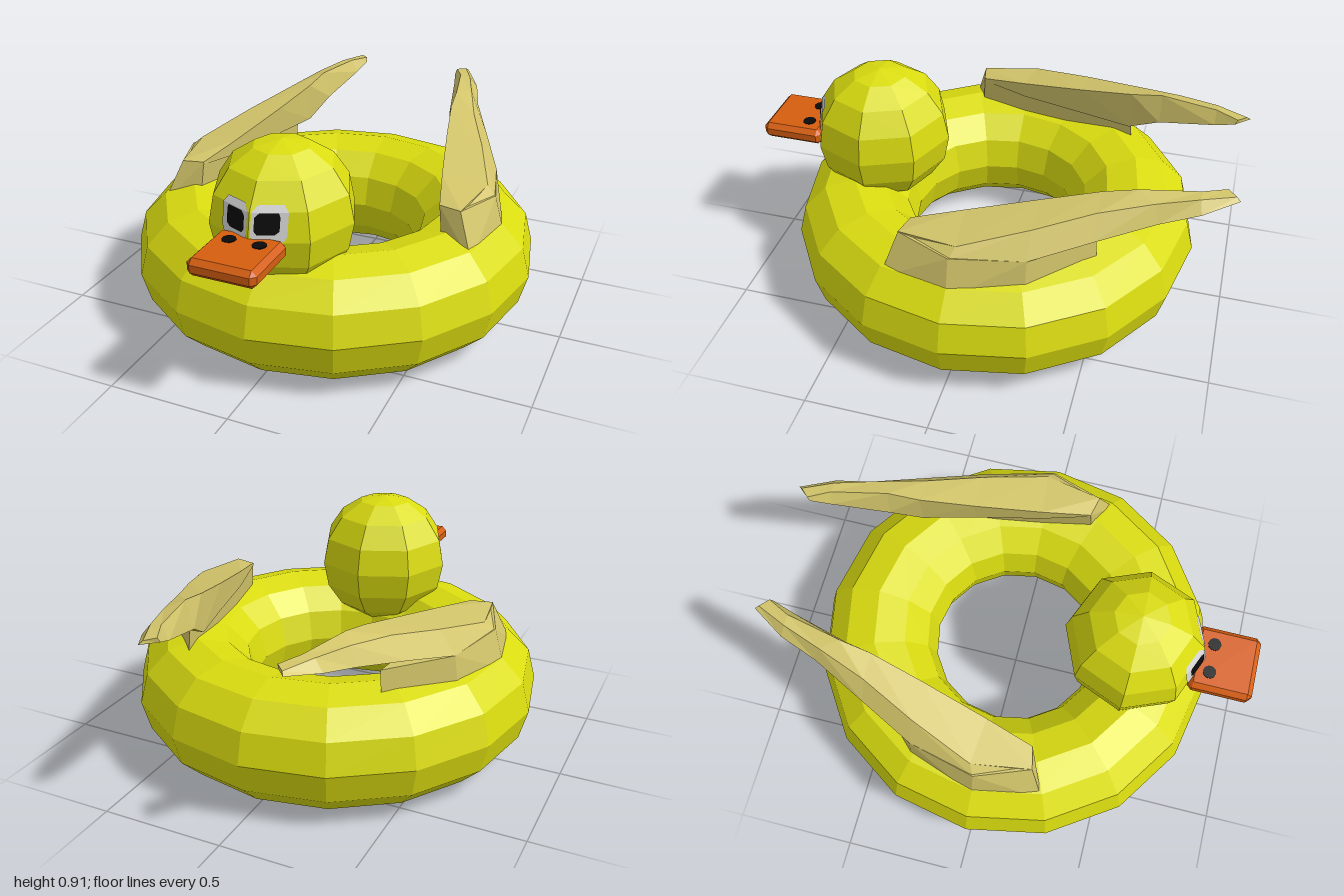
import * as THREE from 'three';
import { ConvexGeometry } from 'three/addons/geometries/ConvexGeometry.js';

const mat = (name, color, extra = {}) => {
  const m = new THREE.MeshStandardMaterial({ color, flatShading: true, ...extra });
  m.name = name;
  return m;
};

export function createModel() {
  const yellow = mat('yellow', 0xdadc10);
  const tan = mat('tan', 0xd2c46a);
  const orange = mat('orange', 0xd65e10);
  const white = mat('eyeWhite', 0xd4d4d4);
  const black = mat('black', 0x0a0a0a);

  const model = new THREE.Group();
  model.name = 'duckSwimRing';
  const add = (name, geometry, material, parent = model) => {
    const mesh = new THREE.Mesh(geometry, material);
    mesh.name = name;
    parent.add(mesh);
    return mesh;
  };

  // Builds a faceted geometry from quads given as four [x, y, z] corners
  const quads = (list, flip) => {
    const pos = [];
    for (const [a, b, c, d] of list) {
      for (const p of flip ? [a, c, b, a, d, c] : [a, b, c, a, c, d]) pos.push(...p);
    }
    const g = new THREE.BufferGeometry();
    g.setAttribute('position', new THREE.Float32BufferAttribute(pos, 3));
    g.computeVertexNormals();
    return g;
  };
  const hull = (pts) => new ConvexGeometry(pts.map((p) => new THREE.Vector3(...p)));

  // Inflated ring
  add('ring', new THREE.TorusGeometry(0.6, 0.25, 12, 16).rotateX(Math.PI / 2).translate(0, 0.25, 0), yellow);

  // Head
  add('head', new THREE.SphereGeometry(0.29, 8, 8).translate(0, 0.62, 0.5), yellow);

  // Beak: a chamfered box
  const beak = [];
  const [hx, hy, hz, b] = [0.135, 0.035, 0.13, 0.02];
  for (const x of [-1, 1]) for (const y of [-1, 1]) for (const z of [-1, 1]) {
    for (const [i, j, k] of [[0, b, b], [b, 0, b], [b, b, 0]]) {
      beak.push([x * (hx - i), 0.6 + y * (hy - j), 0.87 + z * (hz - k)]);
    }
  }
  add('beak', hull(beak), orange);

  // Eye patches follow the faces of the head; rows are [y, inner x, outer x]
  const headRadius = (y) => (y < 0.731 ? 0.29 - (y - 0.62) * 0.2 : 0.268 - (y - 0.731) * 0.67);
  const patch = (rows, s, lift) => {
    const at = (x, y) => [s * x, y, 0.5 + headRadius(y) + lift - x * 0.414];
    const list = [];
    for (let i = 0; i < rows.length - 1; i++) {
      const [y0, a0, b0] = rows[i], [y1, a1, b1] = rows[i + 1];
      list.push([at(a0, y0), at(b0, y0), at(b1, y1), at(a1, y1)]);
    }
    return quads(list, s < 0);
  };
  const whiteRows = [[0.625, 0.02, 0.12], [0.645, 0.008, 0.13], [0.731, 0.008, 0.13], [0.755, 0.025, 0.11]];
  const pupilRows = [[0.652, 0.03, 0.09], [0.665, 0.02, 0.105], [0.715, 0.02, 0.105], [0.73, 0.035, 0.1]];

  // Wing base footprint: bottom corners, then top corners
  const base = [
    [0.54, 0.42, 0.21], [0.68, 0.42, 0.28], [0.735, 0.42, 0], [0.64, 0.42, -0.28], [0.42, 0.42, -0.51],
    [0.52, 0.6, 0.2], [0.61, 0.6, 0.22], [0.69, 0.585, 0], [0.62, 0.575, -0.28], [0.41, 0.57, -0.5],
  ];
  // Blade sections: outer edge, ridge, inner top, inner bottom
  const blade = [
    [[0.61, 0.59, 0.22], [0.61, 0.602, 0.22], [0.52, 0.602, 0.2], [0.52, 0.59, 0.2]],
    [[0.69, 0.58, 0], [0.65, 0.615, -0.02], [0.465, 0.64, 0], [0.47, 0.57, 0]],
    [[0.62, 0.575, -0.28], [0.55, 0.67, -0.28], [0.395, 0.695, -0.28], [0.405, 0.57, -0.28]],
    [[0.515, 0.63, -0.5], [0.45, 0.718, -0.5], [0.345, 0.74, -0.5], [0.345, 0.575, -0.5]],
    [[0.41, 0.68, -0.72], [0.38, 0.748, -0.7], [0.33, 0.765, -0.63], [0.3, 0.65, -0.63]],
    [[0.36, 0.715, -0.87], [0.325, 0.76, -0.86], [0.28, 0.765, -0.86], [0.25, 0.71, -0.86]],
    [[0.28, 0.745, -1], [0.27, 0.757, -0.985], [0.235, 0.76, -0.95], [0.23, 0.74, -0.94]],
  ];

  for (const [side, s] of [['left', 1], ['right', -1]]) {
    // Eyes and nostrils
    add(side + 'EyeWhite', patch(whiteRows, s, 0.004), white);
    add(side + 'Pupil', patch(pupilRows, s, 0.008), black);
    add(side + 'Nostril', new THREE.CylinderGeometry(0.027, 0.027, 0.006, 10)
      .translate(s * 0.06, 0.635, 0.815), black);

    // Wing: base block, blade shell and blade underside
    const wing = new THREE.Group();
    wing.name = side + 'Wing';
    model.add(wing);
    add('wingBase', hull(base.map(([x, y, z]) => [s * x, y, z])), tan, wing);
    const rings = blade.map((r) => r.map(([x, y, z]) => [s * x, y, z]));
    const shell = [rings[0], [...rings[rings.length - 1]].reverse()];
    const under = [];
    for (let k = 0; k < rings.length - 1; k++) {
      for (let j = 0; j < 4; j++) {
        const n = (j + 1) % 4;
        (j === 3 ? under : shell).push([rings[k][j], rings[k + 1][j], rings[k + 1][n], rings[k][n]]);
      }
    }
    add('wingBlade', quads(shell, s < 0), tan, wing);
    add('wingUnderside', quads(under, s < 0), yellow, wing);
  }

  return model;
}
